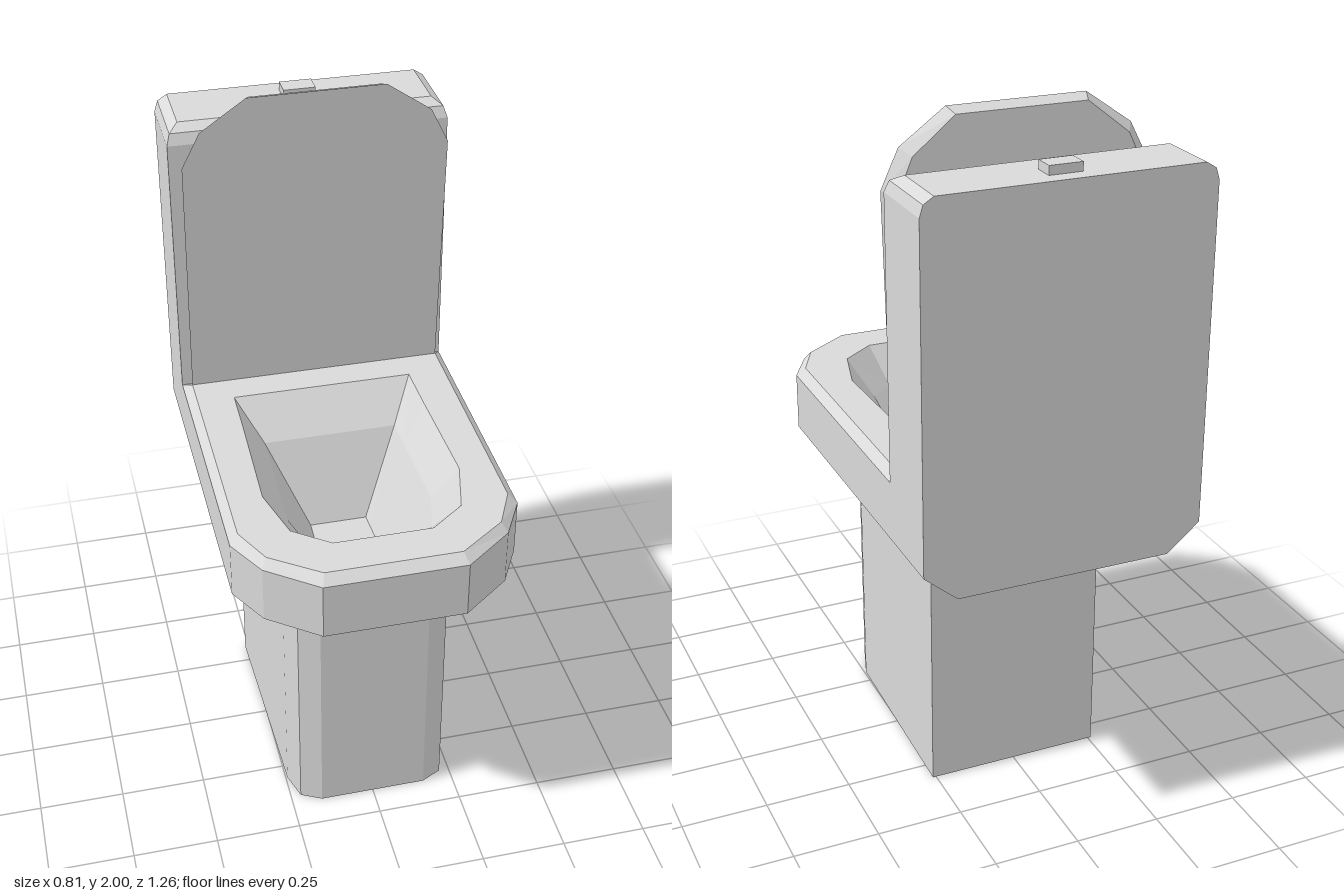
import * as THREE from 'three';

const ceramic = new THREE.MeshStandardMaterial({ color: 0xd9d9d9, flatShading: true });
ceramic.name = 'ceramic grey';

// A level loop from its right half (listed back to front), mirrored to the left.
function loop(y, half) {
  const right = half.map(([x, z]) => [x, y, z]);
  const left = half.map(([x, z]) => [-x, y, z]).reverse();
  return [...right, ...left];
}

// Faceted skin over successive loops, with optional end caps.
function loft(name, loops, capStart, capEnd) {
  const pos = [];
  const tri = (...pts) => pts.forEach((p) => pos.push(...p));
  const n = loops[0].length;
  const centre = (l) => [0, 1, 2].map((k) => l.reduce((s, p) => s + p[k], 0) / n);
  for (let s = 0; s < loops.length - 1; s++) {
    const a = loops[s], b = loops[s + 1];
    for (let i = 0; i < n; i++) {
      const j = (i + 1) % n;
      tri(a[i], b[i], b[j]);
      tri(a[i], b[j], a[j]);
    }
  }
  const first = loops[0], last = loops[loops.length - 1];
  for (let i = 0; i < n; i++) {
    const j = (i + 1) % n;
    if (capStart) tri(centre(first), first[i], first[j]);
    if (capEnd) tri(centre(last), last[j], last[i]);
  }
  const geo = new THREE.BufferGeometry();
  geo.setAttribute('position', new THREE.Float32BufferAttribute(pos, 3));
  geo.computeVertexNormals();
  const mesh = new THREE.Mesh(geo, ceramic);
  mesh.name = name;
  return mesh;
}

export function createModel() {
  const group = new THREE.Group();
  group.name = 'toilet';

  // Pedestal, slightly tapered towards the front
  const foot = [[0.26, -0.315], [0.245, 0.3], [0.22, 0.38], [0.16, 0.41]];
  group.add(loft('pedestal', [loop(0, foot), loop(0.785, foot)], true, false));

  // Bowl: flared underside, straight wall, bevelled rim, then the hollow
  const rim = (back) => [[0.405, back], [0.405, -0.3], [0.405, 0.4], [0.34, 0.52], [0.2, 0.627]];
  group.add(loft('bowl', [
    loop(0.785, [[0.31, -0.63], ...foot]),
    loop(0.865, rim(-0.63)),
    loop(1.035, rim(-0.63)),
    loop(1.035, rim(-0.395)),
    loop(1.06, [[0.38, -0.35], [0.38, -0.28], [0.38, 0.385], [0.325, 0.5], [0.19, 0.597]]),
    loop(1.06, [[0.27, -0.255], [0.273, -0.1], [0.283, 0.24], [0.24, 0.405], [0.14, 0.482]]),
    loop(0.95, [[0.2, -0.155], [0.203, -0.05], [0.21, 0.22], [0.178, 0.343], [0.105, 0.402]]),
    loop(0.7, [[0.086, 0.047 - 0.094 + 0.0], [0.088, 0], [0.093, 0.13], [0.08, 0.19], [0.04, 0.215]]),
  ], true, true));

  // Water tank with a softened top edge and a flat back
  const tank = (y, x, front) => loop(y, [[x, -0.63], [x, front]]);
  group.add(loft('tank', [
    tank(1.035, 0.405, -0.395),
    tank(1.83, 0.405, -0.395),
    tank(1.862, 0.395, -0.408),
    tank(1.88, 0.367, -0.44),
  ], false, true));

  // Flush button
  const button = new THREE.Mesh(new THREE.BoxGeometry(0.094, 0.03, 0.06), ceramic);
  button.name = 'flushButton';
  button.position.set(0, 1.89, -0.552);
  group.add(button);

  // Raised lid, modelled lying flat and hinged at its back edge
  const lid = loft('lid', [
    loop(0, [[0.38, 0], [0.38, 0.745], [0.328, 0.85], [0.197, 0.942]]),
    loop(0.037, [[0.35, 0.015], [0.35, 0.73], [0.305, 0.83], [0.185, 0.925]]),
  ], true, true);
  lid.position.set(0, 1.06, -0.35);
  lid.rotation.x = -Math.PI / 2 + 0.063;
  group.add(lid);

  return group;
}
